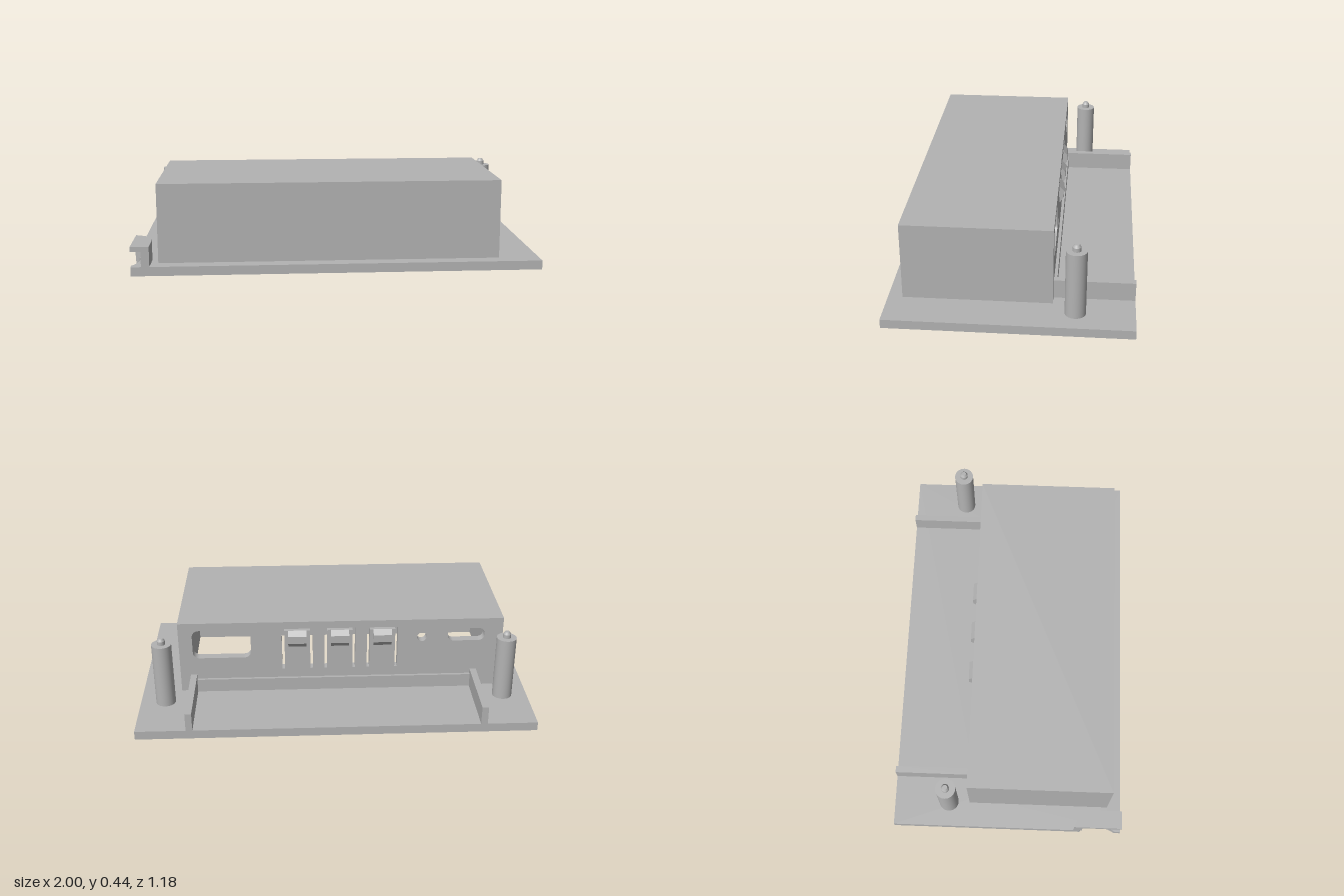
import * as THREE from 'three';

export function createModel() {
  const model = new THREE.Group();
  const grey = new THREE.MeshStandardMaterial({ color: 0xb3b3b3 });
  grey.name = 'grey plastic';

  const add = (name, geometry) => {
    const mesh = new THREE.Mesh(geometry, grey);
    mesh.name = name;
    model.add(mesh);
    return mesh;
  };
  // box given by its limits on each axis
  const box = (name, x0, x1, y0, y1, z0, z1) =>
    add(name, new THREE.BoxGeometry(x1 - x0, y1 - y0, z1 - z0))
      .position.set((x0 + x1) / 2, (y0 + y1) / 2, (z0 + z1) / 2);
  const rect = (x0, y0, x1, y1, T = THREE.Path) => new T([
    [x0, y0], [x1, y0], [x1, y1], [x0, y1]].map(p => new THREE.Vector2(...p)));
  const poly = (points, T = THREE.Shape) => new T(points.map(p => new THREE.Vector2(...p)));
  const roundRect = (x0, y0, x1, y1, r) => {
    const p = new THREE.Path();
    p.absarc(x1 - r, y1 - r, r, 0, Math.PI / 2);
    p.absarc(x0 + r, y1 - r, r, Math.PI / 2, Math.PI);
    p.absarc(x0 + r, y0 + r, r, Math.PI, Math.PI * 1.5);
    p.absarc(x1 - r, y0 + r, r, Math.PI * 1.5, Math.PI * 2);
    p.closePath();
    return p;
  };
  const extrude = (shape, depth) =>
    new THREE.ExtrudeGeometry(shape, { depth, bevelEnabled: false, curveSegments: 12 });
  // horizontal slab from a plan drawn in (x, -z)
  const slab = (name, shape, y0, y1) => {
    const g = extrude(shape, y1 - y0);
    g.rotateX(-Math.PI / 2);
    add(name, g).position.y = y0;
  };

  const floor = 0.045, top = 0.435;
  const X0 = -0.875, X1 = 0.8, Z0 = -0.2, Z1 = 0.52;      // housing outside
  const x0 = -0.84, x1 = 0.76, z0 = -0.155, z1 = 0.485;   // housing inside

  // base plate, open under the housing, with a shallow cord notch in one edge
  const plan = new THREE.Shape();
  plan.moveTo(-1, -0.59);
  plan.lineTo(1, -0.59);
  plan.lineTo(1, 0.59);
  plan.lineTo(-1, 0.59);
  plan.lineTo(-1, -0.38);
  plan.bezierCurveTo(-0.96, -0.4, -0.96, -0.5, -1, -0.56);
  plan.closePath();
  plan.holes.push(rect(x0, -z1, x1, -z0));
  slab('basePlate', plan, 0, floor);

  // hollow housing
  box('housingTop', X0, X1, top - 0.035, top, Z0, Z1);
  box('housingFront', X0, X1, floor, top - 0.035, z1, Z1);
  box('housingRightWall', X0, x0, floor, top - 0.035, z0, z1);
  box('housingLeftWall', x1, X1, floor, top - 0.035, z0, z1);

  // rear wall with connector openings and slots around the buttons
  const rear = rect(X0, floor, X1, top - 0.035, THREE.Shape);
  rear.holes.push(roundRect(0.43, 0.235, 0.73, 0.393, 0.035));
  rear.holes.push(roundRect(-0.78, 0.31, -0.59, 0.38, 0.03));
  const hole = new THREE.Path();
  hole.absarc(-0.455, 0.335, 0.025, 0, Math.PI * 2);
  rear.holes.push(hole);
  const buttons = [-0.25, -0.03, 0.19];
  for (const c of buttons) {
    const a = 0.08, b = 0.066, low = 0.165, high = 0.396, inner = 0.384;
    rear.holes.push(poly([
      [c - a, low], [c - b, low], [c - b, inner], [c + b, inner],
      [c + b, low], [c + a, low], [c + a, high], [c - a, high]], THREE.Path));
  }
  add('housingRear', extrude(rear, z0 - Z0)).position.z = Z0;

  // raised button caps
  for (const c of buttons) {
    const g = extrude(poly([[0.19, 0.293], [0.2, 0.293], [0.222, 0.32],
      [0.222, 0.36], [0.2, 0.385], [0.19, 0.385]]), 0.094);
    g.rotateY(Math.PI / 2);
    add('buttonCap', g).position.x = c - 0.047;
  }

  // low ribs and ledge behind the housing
  box('rearRibRight', -0.748, -0.715, floor, 0.14, -0.59, Z0);
  box('rearRibLeft', 0.715, 0.748, floor, 0.14, -0.59, Z0);
  box('rearLedge', -0.715, 0.715, floor, 0.115, -0.215, Z0);

  // mounting posts with chamfered pins
  for (const side of [-1, 1]) {
    const post = new THREE.CylinderGeometry(0.05, 0.05, 0.38 - floor, 32);
    add('post', post).position.set(side * 0.872, (0.38 + floor) / 2, -0.308);
    const pin = new THREE.CylinderGeometry(0.02, 0.02, 0.02, 24);
    add('postPin', pin).position.set(side * 0.872, 0.39, -0.308);
    const tip = new THREE.CylinderGeometry(0.012, 0.02, 0.013, 24);
    add('postPinTip', tip).position.set(side * 0.872, 0.4065, -0.308);
  }

  // corner cord guide: curved wall under a flange
  const wall = new THREE.Shape();
  wall.moveTo(-1, -0.345);
  wall.lineTo(-1, -0.39);
  wall.quadraticCurveTo(-0.95, -0.4, -0.95, -0.46);
  wall.lineTo(-0.95, -0.59);
  wall.lineTo(-0.91, -0.59);
  wall.lineTo(-0.91, -0.46);
  wall.quadraticCurveTo(-0.915, -0.37, -1, -0.345);
  slab('cordGuideWall', wall, floor, 0.12);
  const flange = new THREE.Shape();
  flange.moveTo(-1, -0.345);
  flange.lineTo(-1, -0.59);
  flange.lineTo(-0.91, -0.59);
  flange.lineTo(-0.91, -0.46);
  flange.quadraticCurveTo(-0.915, -0.37, -1, -0.345);
  slab('cordGuideFlange', flange, 0.12, 0.145);

  return model;
}
